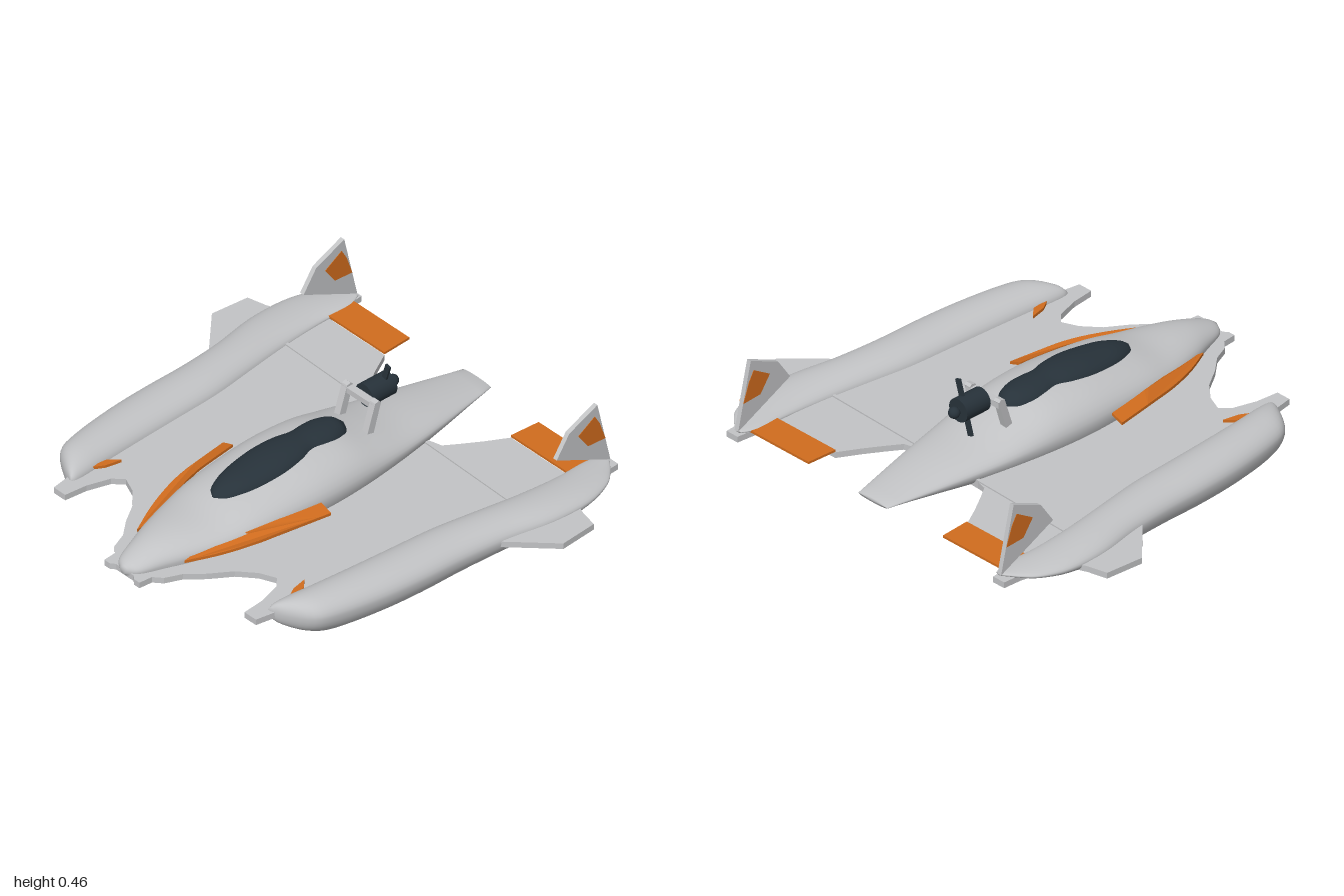
import * as THREE from 'three';

const mat = (name, color, side = THREE.FrontSide) => {
  const m = new THREE.MeshStandardMaterial({ color, side });
  m.name = name;
  return m;
};

// Smooth hull from stations [x, zCentre, halfWidth, yBottom, yMiddle, yTop]
function loft(stations, side = 1, steps = 48, sides = 32) {
  const curve = (f) => new THREE.CatmullRomCurve3(stations.map((s) => new THREE.Vector3(...f(s))), false, 'catmullrom', 0.5);
  const plan = curve((s) => [s[0], s[1], s[2]]);
  const profile = curve((s) => [s[3], s[4], s[5]]);
  const pos = [], idx = [];
  for (let i = 0; i <= steps; i++) {
    const p = plan.getPoint(i / steps), h = profile.getPoint(i / steps);
    for (let j = 0; j < sides; j++) {
      const a = (j / sides) * Math.PI * 2, s = Math.sin(a);
      pos.push(p.x, h.y + s * (s > 0 ? h.z - h.y : h.y - h.x), p.y * side + p.z * Math.cos(a));
    }
  }
  for (let i = 0; i < steps; i++) for (let j = 0; j < sides; j++) {
    const k = (j + 1) % sides, a = i * sides, b = a + sides;
    idx.push(a + j, b + j, a + k, b + j, b + k, a + k);
  }
  // End caps
  const first = stations[0], last = stations[stations.length - 1], c = pos.length / 3;
  for (const s of [first, last]) pos.push(s[0], s[4], s[1] * side);
  for (let j = 0; j < sides; j++) {
    const k = (j + 1) % sides, e = steps * sides;
    idx.push(c, j, k, c + 1, e + k, e + j);
  }
  const g = new THREE.BufferGeometry();
  g.setAttribute('position', new THREE.Float32BufferAttribute(pos, 3));
  g.setIndex(idx);
  g.computeVertexNormals();
  return g;
}

const shapeOf = (pts, side = 1) => new THREE.Shape(pts.map(([x, y]) => new THREE.Vector2(x, y * side)));

// Horizontal plate from an (x, z) outline
function plate(pts, top, thick, side = 1) {
  const g = new THREE.ExtrudeGeometry(shapeOf(pts, side), { depth: thick, bevelEnabled: false });
  return g.rotateX(Math.PI / 2).translate(0, top, 0);
}

// Upright plate from an (x, y) outline
function upright(pts, z, thick) {
  const g = new THREE.ExtrudeGeometry(shapeOf(pts), { depth: thick, bevelEnabled: false });
  return g.translate(0, 0, z - thick / 2);
}

export function createModel() {
  const root = new THREE.Group();
  root.name = 'floatCraft';
  const grey = mat('hullGrey', 0xc2c3c5);
  const dark = mat('darkSlate', 0x27323a);
  const orange = mat('trimOrange', 0xd06c1e);
  const add = (name, geometry, material, parent = root) => {
    const m = new THREE.Mesh(geometry, material);
    m.name = name;
    parent.add(m);
    return m;
  };

  // Central fuselage
  add('fuselage', loft([
    [-0.935, 0, 0.015, 0.12, 0.135, 0.15], [-0.9, 0, 0.06, 0.09, 0.138, 0.172],
    [-0.8, 0, 0.1, 0.045, 0.145, 0.205], [-0.7, 0, 0.138, 0.02, 0.15, 0.222],
    [-0.55, 0, 0.182, 0.006, 0.16, 0.235], [-0.4, 0, 0.212, 0.002, 0.168, 0.266],
    [-0.2, 0, 0.23, 0.004, 0.172, 0.293], [-0.05, 0, 0.235, 0.01, 0.172, 0.303],
    [0.1, 0, 0.227, 0.02, 0.17, 0.296], [0.25, 0, 0.209, 0.036, 0.165, 0.258],
    [0.4, 0, 0.184, 0.056, 0.158, 0.223], [0.6, 0, 0.145, 0.088, 0.152, 0.196],
    [0.89, 0, 0.08, 0.135, 0.143, 0.153],
  ], 1, 60, 40), grey);

  // Two-bubble canopy
  add('canopy', loft([
    [-0.47, 0, 0.006, 0.235, 0.245, 0.256], [-0.44, 0, 0.048, 0.22, 0.245, 0.277],
    [-0.37, 0, 0.077, 0.22, 0.255, 0.3], [-0.28, 0, 0.095, 0.22, 0.262, 0.314],
    [-0.18, 0, 0.1, 0.22, 0.272, 0.326], [-0.09, 0, 0.09, 0.22, 0.28, 0.329],
    [-0.02, 0, 0.072, 0.22, 0.284, 0.326], [0.04, 0, 0.079, 0.22, 0.28, 0.326],
    [0.1, 0, 0.08, 0.22, 0.275, 0.324], [0.155, 0, 0.066, 0.22, 0.262, 0.316],
    [0.185, 0, 0.04, 0.22, 0.258, 0.294], [0.2, 0, 0.01, 0.24, 0.262, 0.28],
  ]), dark);

  // Wing deck: one half outline, mirrored
  const half = [
    [-0.925, 0.05], [-0.94, 0.07], [-0.94, 0.1], [-0.88, 0.105], [-0.85, 0.14], [-0.78, 0.17],
    [-0.71, 0.23], [-0.62, 0.29], [-0.56, 0.36], [-0.53, 0.43], [-0.57, 0.47], [-0.67, 0.5],
    [-0.77, 0.51], [-0.77, 0.575], [-0.68, 0.59], [-0.5, 0.68], [0, 0.75], [0.26, 0.83],
    [0.37, 0.94], [0.43, 1], [0.6, 0.985], [0.62, 0.9], [0.66, 0.8], [0.85, 0.765],
    [0.93, 0.76], [0.93, 0.7], [0.74, 0.68], [0.74, 0.36], [0.65, 0.31], [0.57, 0.26], [0.51, 0.22], [0.48, 0.1],
  ];
  const mirrored = half.slice().reverse().map(([x, z]) => [x, -z]);
  add('wingDeck', plate([...half, ...mirrored], 0.133, 0.026), grey);

  // Spar seam across the deck
  add('sparSeam', new THREE.BoxGeometry(0.014, 0.036, 1.36), grey)
    .position.set(0.485, 0.121, 0);
  root.getObjectByName('sparSeam').rotation.y = -0.035;

  // Strake outline follows the fuselage shoulder
  const smooth = (pts) => new THREE.SplineCurve(pts.map((p) => new THREE.Vector2(...p))).getPoints(18).map((p) => [p.x, p.y]);
  const outer = smooth([[-0.74, 0.135], [-0.62, 0.195], [-0.5, 0.24], [-0.38, 0.27], [-0.14, 0.307]]);
  const inner = smooth([[-0.14, 0.252], [-0.34, 0.222], [-0.5, 0.182], [-0.65, 0.13]]);

  for (const [side, label] of [[1, 'left'], [-1, 'right']]) {
    // Outboard float
    add(label + 'Float', loft([
      [-0.692, 0.566, 0.008, 0.105, 0.125, 0.143], [-0.665, 0.594, 0.042, 0.075, 0.128, 0.168],
      [-0.6, 0.64, 0.086, 0.045, 0.128, 0.187], [-0.5, 0.664, 0.1, 0.02, 0.125, 0.193],
      [-0.3, 0.687, 0.11, 0.014, 0.122, 0.194], [-0.1, 0.7, 0.112, 0.014, 0.122, 0.192],
      [0.1, 0.709, 0.109, 0.022, 0.122, 0.19], [0.3, 0.733, 0.104, 0.037, 0.124, 0.186],
      [0.5, 0.765, 0.108, 0.063, 0.128, 0.179], [0.68, 0.773, 0.101, 0.093, 0.133, 0.168],
      [0.8, 0.755, 0.084, 0.115, 0.139, 0.159], [0.86, 0.735, 0.058, 0.127, 0.142, 0.154],
      [0.912, 0.715, 0.016, 0.138, 0.145, 0.15],
    ], side), grey);

    // Orange strake, tilted down outboard
    const strake = plate([...outer, ...inner], 0.008, 0.012, side);
    const p = strake.attributes.position;
    for (let i = 0; i < p.count; i++) {
      const t = THREE.MathUtils.clamp((p.getX(i) + 0.74) / 0.4, 0, 1);
      const mid = 0.12 + 0.14 * Math.sin(t * Math.PI / 2) + Math.max(0, p.getX(i) + 0.34) * 0.12;
      p.setY(i, p.getY(i) + 0.15 + 0.032 * t - 0.35 * t * (Math.abs(p.getZ(i)) - mid));
    }
    strake.computeVertexNormals();
    add(label + 'Strake', strake, orange);

    // Elevator and small front trim pieces
    add(label + 'Elevator', plate([[0.74, 0.36], [0.875, 0.368], [0.875, 0.69], [0.74, 0.68]], 0.145, 0.01, side), orange);
    add(label + 'FloatTrim', plate([[-0.6, 0.57], [-0.54, 0.535], [-0.47, 0.52], [-0.51, 0.56]], 0.146, 0.012, side), orange);
    add(label + 'NoseTrim', plate([[-0.92, 0.05], [-0.91, 0.09], [-0.87, 0.095], [-0.86, 0.06]], 0.108, 0.006, side), orange);

    // Tail fin with painted panel on both faces
    const z = 0.72 * side;
    add(label + 'Fin', upright([[0.64, 0.275], [0.705, 0.37], [0.85, 0.435], [0.917, 0.145], [0.885, 0.16]], z, 0.02), grey);
    add(label + 'FinPanel', upright([[0.75, 0.335], [0.835, 0.388], [0.86, 0.345], [0.89, 0.26], [0.8, 0.265]], z, 0.024), orange);

    // Engine strut
    add(label + 'Strut', upright([[0.235, 0.235], [0.27, 0.235], [0.31, 0.37], [0.3, 0.38], [0.28, 0.375]], 0.08 * side, 0.03), grey);
  }

  // Engine mount bar, motor and propeller
  add('mountBar', new THREE.BoxGeometry(0.032, 0.025, 0.18), grey).position.set(0.293, 0.355, 0);
  const engine = new THREE.Group();
  engine.name = 'engine';
  engine.position.y = 0.35;
  root.add(engine);
  const along = (r, len, x) => new THREE.CylinderGeometry(r, r, len, 20).rotateZ(Math.PI / 2).translate(x, 0, 0);
  add('motor', along(0.05, 0.125, 0.373), dark, engine);
  add('shaft', along(0.013, 0.04, 0.445), dark, engine);
  add('spinner', new THREE.SphereGeometry(0.024, 16, 12).translate(0.457, 0, 0), dark, engine);
  const blade = add('propeller', new THREE.BoxGeometry(0.01, 0.236, 0.024), dark, engine);
  blade.position.x = 0.402;
  blade.rotation.x = 0.3;
  return root;
}
